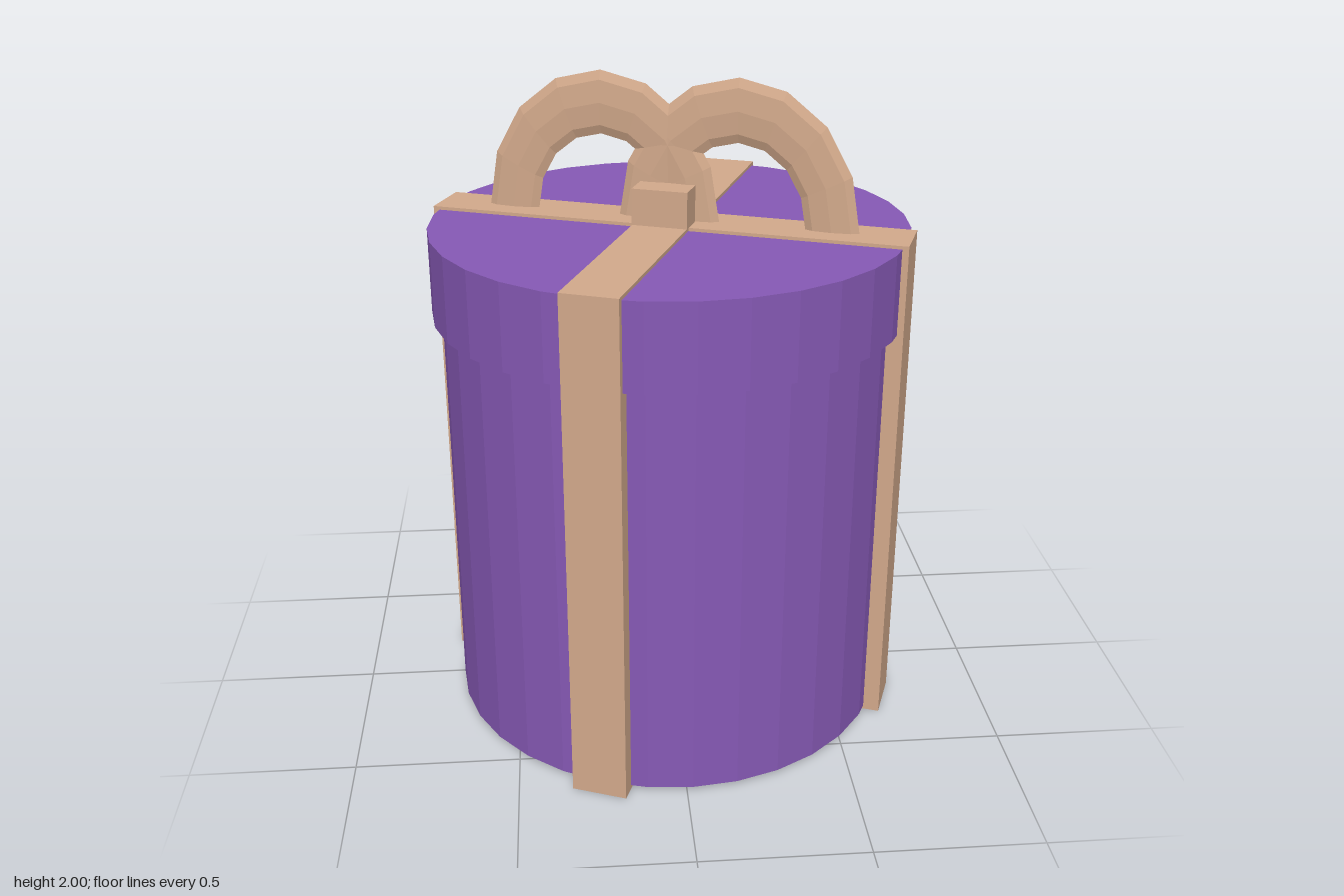
import * as THREE from 'three';

export function createModel() {
  const model = new THREE.Group();
  model.name = 'giftBox';
  const purple = new THREE.MeshStandardMaterial({ color: 0x8659b5, flatShading: true });
  purple.name = 'purple paper';
  const tan = new THREE.MeshStandardMaterial({ color: 0xd2a98b, flatShading: true });
  tan.name = 'tan ribbon';

  const add = (name, geometry, material, x, y, z) => {
    const mesh = new THREE.Mesh(geometry, material);
    mesh.name = name;
    mesh.position.set(x, y, z);
    model.add(mesh);
    return mesh;
  };
  const drum = (radius, bottom, top) =>
    new THREE.CylinderGeometry(radius, radius, top - bottom, 32).translate(0, (top + bottom) / 2, 0);

  // Round box and its overhanging lid
  add('body', drum(0.69, 0.012, 1.4), purple, 0, 0, 0);
  add('lid', drum(0.72, 1.3, 1.56), purple, 0, 0, 0);

  // Two crossing ribbons wrapped around the whole box
  const ribbonTop = 1.57;
  const ribbon = new THREE.BoxGeometry(1.462, ribbonTop, 0.167);
  add('ribbonLengthwise', ribbon, tan, 0, ribbonTop / 2, 0);
  add('ribbonCrosswise', ribbon, tan, 0, ribbonTop / 2, 0).rotation.y = Math.PI / 2;

  // Bow: two flattened loops and a square knot
  const loop = new THREE.TorusGeometry(0.285, 0.08, 8, 8, Math.PI);
  loop.scale(1, 1.18, 0.2);
  for (const side of [-1, 1]) {
    add(side > 0 ? 'leftBowLoop' : 'rightBowLoop', loop, tan, side * 0.21, ribbonTop, 0);
  }
  add('knot', new THREE.BoxGeometry(0.17, 0.11, 0.203), tan, 0, ribbonTop + 0.055, 0);

  // The whole box is turned a little
  model.rotation.y = -0.366;
  const root = new THREE.Group();
  root.name = 'gift';
  root.add(model);
  return root;
}
